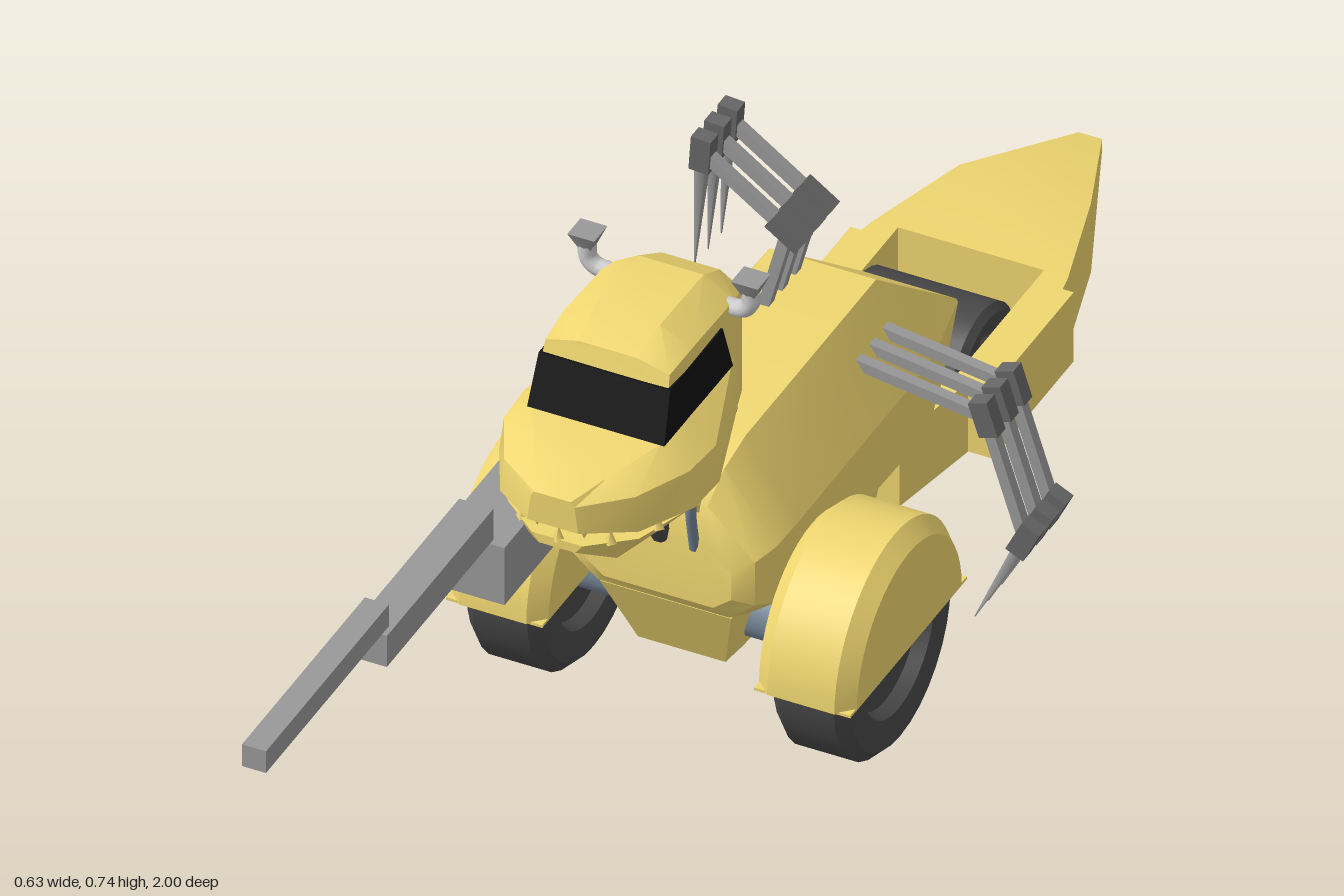
import * as THREE from 'three';
import { toCreasedNormals } from 'three/addons/utils/BufferGeometryUtils.js';

const mat = (color) => new THREE.MeshStandardMaterial({ color, side: THREE.DoubleSide });
const YELLOW = mat(0xefd670), DARK = mat(0x484848), STEEL = mat(0x778899), BLACK = mat(0x111111);
const GUN = mat(0x999999), JOINT = mat(0x666666), GREY = mat(0xcccccc);

function add(parent, name, geo, material, x = 0, y = 0, z = 0) {
  const m = new THREE.Mesh(geo, material);
  m.name = name;
  m.position.set(x, y, z);
  parent.add(m);
  return m;
}

// Mirrored skin through half sections [x, y, z], listed front to back
function loft(sections) {
  const rings = sections.map((s) => [...s, ...s.map(([x, y, z]) => [-x, y, z]).reverse()]);
  const n = rings[0].length, index = [], last = (rings.length - 1) * n;
  for (let i = 0; i < rings.length - 1; i++) {
    for (let j = 0; j < n; j++) {
      const a = i * n + j, b = i * n + (j + 1) % n;
      index.push(a, b, a + n, b, b + n, a + n);
    }
  }
  for (let j = 1; j < n - 1; j++) index.push(0, j + 1, j, last, last + j, last + j + 1);
  const g = new THREE.BufferGeometry();
  g.setAttribute('position', new THREE.Float32BufferAttribute(rings.flat(2), 3));
  g.setIndex(index);
  return toCreasedNormals(g, 0.45);
}
const at = (z, pts) => pts.map(([x, y]) => [x, y, z]);

// Outline in (z, y), thickened along x
function sideExtrude(pts, width, x = 0) {
  const s = new THREE.Shape(pts.map(([z, y]) => new THREE.Vector2(z, y)));
  return new THREE.ExtrudeGeometry(s, { depth: width, bevelEnabled: false }).rotateY(-Math.PI / 2).translate(x + width / 2, 0, 0);
}

// Outline in (x, z), thickened along y
function planExtrude(pts, y0, y1) {
  const s = new THREE.Shape(pts.map(([x, z]) => new THREE.Vector2(x, -z)));
  return new THREE.ExtrudeGeometry(s, { depth: y1 - y0, bevelEnabled: false }).rotateX(-Math.PI / 2).translate(0, y0, 0);
}

// Turned shape on the x axis; profile is [radius, along axis]
function turned(profile, arc = Math.PI * 2, seg = 32) {
  const g = new THREE.LatheGeometry(profile.map(([r, h]) => new THREE.Vector2(r, h)), seg, 0, arc);
  return toCreasedNormals(g.rotateZ(Math.PI / 2), 0.5);
}

function tube(pts, r) {
  const curve = new THREE.CatmullRomCurve3(pts.map((p) => new THREE.Vector3(...p)));
  return new THREE.TubeGeometry(curve, 20, r, 10);
}

// Tyre with bevelled shoulders and recessed rim
function wheel(r, w) {
  const h = w / 2, b = r * 0.1;
  const half = [[0, h * 0.75], [r * 0.3, h * 0.75], [r * 0.34, h * 0.6], [r * 0.6, h * 0.6], [r * 0.64, h * 0.95], [r * 0.78, h], [r - b, h], [r, h - b]];
  return turned([...half.map(([a, y]) => [a, -y]), ...half.reverse()]);
}

// Jointed limb through points [x, y]
function limb(pts, z) {
  const g = new THREE.Group();
  g.name = 'mechanicalLeg';
  for (let i = 0; i < pts.length - 1; i++) {
    const [ax, ay] = pts[i], [bx, by] = pts[i + 1];
    const len = Math.hypot(bx - ax, by - ay), angle = Math.atan2(by - ay, bx - ax) - Math.PI / 2;
    const tip = i === pts.length - 2;
    const geo = tip ? new THREE.CylinderGeometry(0.001, 0.012, len, 4, 1).rotateY(Math.PI / 4) : new THREE.BoxGeometry(0.015, len, 0.015);
    add(g, tip ? 'legTip' : 'legBar', geo, GUN, (ax + bx) / 2, (ay + by) / 2, z).rotation.z = angle;
    if (i > 0) add(g, 'legJoint', new THREE.BoxGeometry(0.027, 0.05, 0.022), JOINT, ax, ay, z).rotation.z = angle;
  }
  return g;
}

export function createModel() {
  const model = new THREE.Group();
  const v = new THREE.Group();
  v.name = 'vehicle';
  v.position.x = -0.037;
  model.add(v);

  // Hull: eight-sided, rounded at the nose, wedge at the back
  const hull = (z, wt, yt, w, yu, yl, wb, yb) => at(z, [[wt, yt], [w, yu], [w, yl], [wb, yb]]);
  add(v, 'hull', loft([
    hull(0.195, 0.05, 0.34, 0.1, 0.3, 0.26, 0.075, 0.24),
    hull(0.18, 0.06, 0.38, 0.125, 0.315, 0.25, 0.09, 0.22),
    hull(0.15, 0.068, 0.42, 0.14, 0.325, 0.24, 0.1, 0.21),
    hull(0.1, 0.073, 0.44, 0.144, 0.33, 0.24, 0.1, 0.205),
    hull(-0.26, 0.073, 0.44, 0.143, 0.33, 0.23, 0.1, 0.19),
    hull(-0.38, 0.07, 0.345, 0.105, 0.285, 0.22, 0.085, 0.19),
    hull(-0.5, 0.063, 0.25, 0.066, 0.247, 0.243, 0.063, 0.24),
  ]), YELLOW);
  add(v, 'keel', loft([
    [[0.09, 0.215, 0.175], [0.06, 0.11, 0.13]],
    [[0.09, 0.215, 0.08], [0.058, 0.1, 0.08]],
    at(-0.28, [[0.09, 0.215], [0.058, 0.068]]),
    at(-0.4, [[0.08, 0.2], [0.055, 0.09]]),
  ]), YELLOW);

  // Front axle, wheels and fenders
  add(v, 'frontAxle', new THREE.CylinderGeometry(0.04, 0.04, 0.4, 24).rotateZ(Math.PI / 2), STEEL, 0, 0.15, 0.056);
  const fender = [[0, -0.067], [0.145, -0.067], [0.165, -0.046], [0.165, 0.046], [0.145, 0.067], [0, 0.067]];
  for (const s of [-1, 1]) {
    add(v, 'frontWheel', wheel(0.154, 0.106), DARK, s * 0.21, 0.154, 0.056);
    add(v, 'fender', turned(fender, Math.PI, 24), YELLOW, s * 0.211, 0.158, 0.062);
    add(v, 'fenderBase', new THREE.BoxGeometry(0.132, 0.004, 0.322), YELLOW, s * 0.211, 0.158, 0.062);
  }

  // Tail frame around the rear wheel
  add(v, 'rearWheel', wheel(0.09, 0.186), DARK, 0, 0.126, -0.53);
  add(v, 'rearAxle', new THREE.CylinderGeometry(0.02, 0.02, 0.22, 16).rotateZ(Math.PI / 2), STEEL, 0, 0.126, -0.53);
  add(v, 'tail', loft([
    at(-0.67, [[0.133, 0.193], [0.133, 0.088]]),
    at(-0.82, [[0.09, 0.193], [0.09, 0.088]]),
    at(-1, [[0.016, 0.148], [0.016, 0.131]]),
  ]), YELLOW);
  const arm = [[0.06, -0.28], [0.1, -0.43], [0.1, -0.672], [0.133, -0.672], [0.138, -0.645], [0.153, -0.645], [0.153, -0.42], [0.12, -0.42], [0.095, -0.28]];
  for (const s of [-1, 1]) add(v, 'tailArm', planExtrude(arm.map(([x, z]) => [s * x, z]), 0.088, 0.193), YELLOW);

  // Head: cab, windows, jaws and teeth
  const head = new THREE.Group();
  head.name = 'head';
  v.add(head);
  add(head, 'cab', loft([
    [[0.04, 0.7, 0.333], [0.085, 0.69, 0.335], [0.092, 0.6, 0.365]],
    at(0.28, [[0.045, 0.718], [0.088, 0.695], [0.092, 0.6]]),
    at(0.16, [[0.045, 0.715], [0.087, 0.69], [0.092, 0.57]]),
    at(0.105, [[0.04, 0.685], [0.07, 0.665], [0.07, 0.55]]),
  ]), YELLOW);
  add(head, 'windows', loft([
    [[0.09, 0.674, 0.344], [0.094, 0.606, 0.368]],
    [[0.091, 0.674, 0.2], [0.095, 0.606, 0.18]],
  ]), BLACK);
  add(head, 'upperJaw', loft([
    at(0.487, [[0.025, 0.577], [0.03, 0.57], [0.035, 0.532]]),
    at(0.44, [[0.05, 0.59], [0.09, 0.575], [0.095, 0.524]]),
    at(0.365, [[0.088, 0.606], [0.127, 0.577], [0.134, 0.524]]),
    at(0.3, [[0.09, 0.61], [0.131, 0.575], [0.136, 0.522]]),
    at(0.17, [[0.09, 0.61], [0.1, 0.57], [0.095, 0.53]]),
  ]), YELLOW);
  add(head, 'lowerJaw', loft([
    at(0.475, [[0.035, 0.505], [0.025, 0.492]]),
    at(0.43, [[0.09, 0.505], [0.06, 0.466]]),
    at(0.34, [[0.12, 0.505], [0.083, 0.464]]),
    at(0.23, [[0.105, 0.51], [0.075, 0.47]]),
    at(0.19, [[0.09, 0.525], [0.07, 0.5]]),
  ]), YELLOW);
  const rim = new THREE.CatmullRomCurve3([[-0.118, 0.3], [-0.117, 0.35], [-0.085, 0.43], [-0.03, 0.47], [0.03, 0.47], [0.085, 0.43], [0.117, 0.35], [0.118, 0.3]].map(([x, z]) => new THREE.Vector3(x, 0, z)));
  for (let i = 0; i <= 14; i++) {
    const p = rim.getPointAt(i / 14), up = i % 2 === 1;
    const tooth = add(head, 'tooth', new THREE.ConeGeometry(0.009, 0.02, 4), YELLOW, p.x * 0.97, up ? 0.512 : 0.519, p.z - 0.004);
    if (!up) tooth.rotation.x = Math.PI;
  }

  // Neck and its struts
  add(v, 'neck', sideExtrude([[0.105, 0.6], [0.105, 0.51], [0.13, 0.48], [0.18, 0.49], [0.19, 0.6]], 0.14), YELLOW);
  const strut = [[0.11, 0.53], [0.11, 0.5], [0.15, 0.44], [0.12, 0.4], [0.17, 0.35], [0.205, 0.4], [0.19, 0.46], [0.19, 0.53]];
  for (const s of [-1, 1]) {
    add(v, 'neckStrut', sideExtrude(strut, 0.035, s * 0.033), YELLOW);
    add(v, 'frontHose', tube([[s * 0.066, 0.48, 0.22], [s * 0.057, 0.41, 0.22], [s * 0.047, 0.32, 0.19]], 0.007), STEEL);
    add(v, 'rearHose', tube([[s * 0.032, 0.635, 0.11], [s * 0.032, 0.62, 0.085], [s * 0.032, 0.55, 0.066], [s * 0.032, 0.42, 0.06]], 0.009), STEEL);
    // Exhaust horns with square funnels
    add(head, 'exhaustPipe', tube([[s * 0.08, 0.683, 0.165], [s * 0.1, 0.685, 0.165], [s * 0.111, 0.696, 0.165], [s * 0.112, 0.715, 0.165]], 0.012), GREY);
    add(head, 'exhaustFunnel', new THREE.CylinderGeometry(0.026, 0.012, 0.024, 4).rotateY(Math.PI / 4).toNonIndexed(), GUN, s * 0.112, 0.723, 0.165);
  }
  add(v, 'neckHose', tube([[0, 0.5, 0.18], [0, 0.44, 0.215], [0, 0.38, 0.215], [0, 0.325, 0.185]], 0.015), DARK);

  // Stepped gun on the right side
  for (const [name, w, y0, y1, z0, z1] of [['gunBody', 0.087, 0.315, 0.402, 0.14, 0.395], ['gunSleeve', 0.047, 0.402, 0.449, 0.385, 0.68], ['gunBarrel', 0.033, 0.449, 0.482, 0.66, 1]]) {
    add(model, name, new THREE.BoxGeometry(w, y1 - y0, z1 - z0), GUN, -0.192, (y0 + y1) / 2, (z0 + z1) / 2);
  }

  // Three lowered legs on the left, three raised on the right
  for (const z of [-0.158, -0.195, -0.232]) {
    model.add(limb([[0.04, 0.394], [0.238, 0.365], [0.292, 0.197], [0.222, 0.055]], z));
    model.add(limb([[-0.075, 0.4], [-0.033, 0.56], [-0.15, 0.642], [-0.162, 0.465]], z));
  }
  return model;
}
